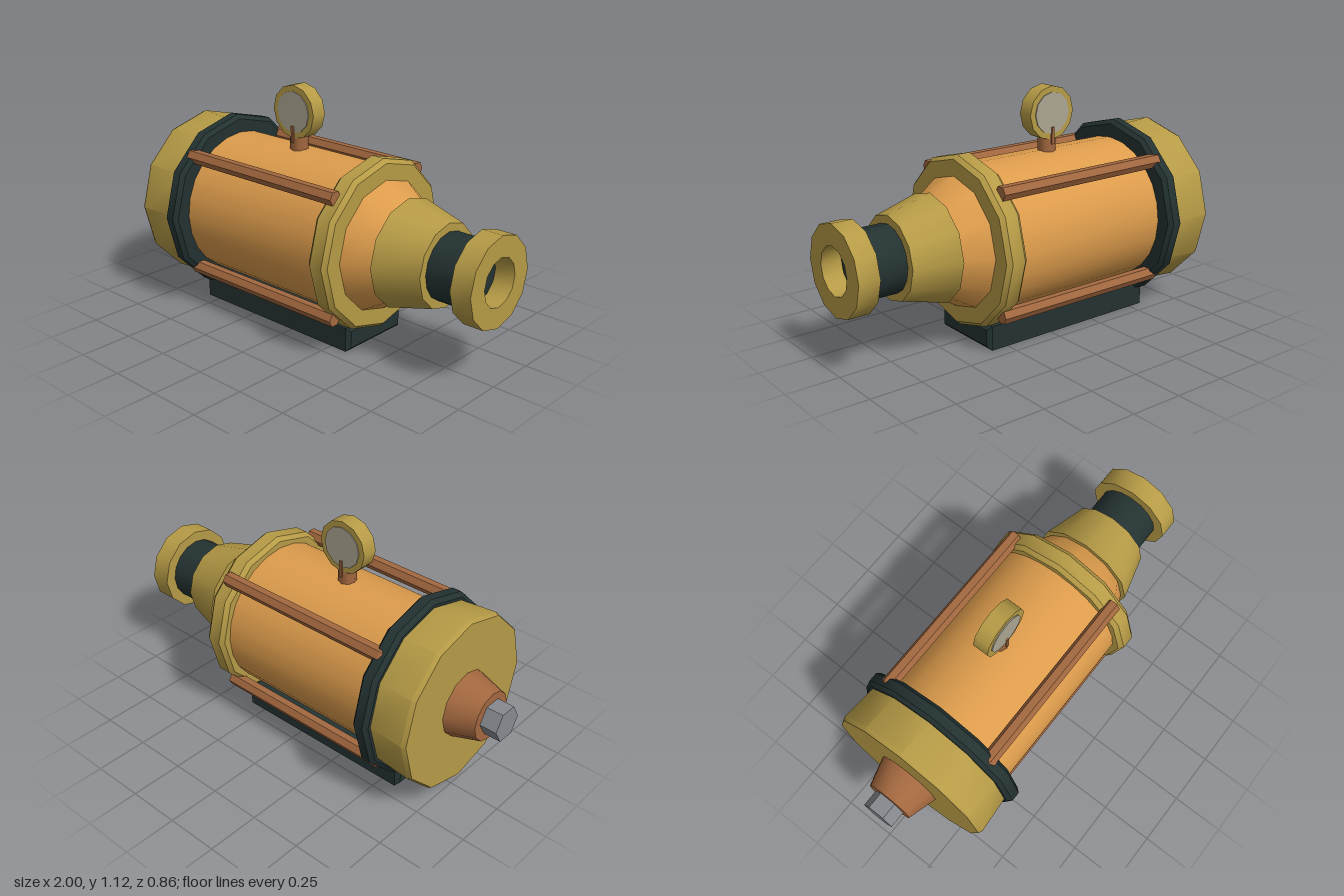
import * as THREE from 'three';
import { toCreasedNormals } from 'three/addons/utils/BufferGeometryUtils.js';

const AXIS_Y = 0.475;

export function createModel() {
  const model = new THREE.Group();
  model.name = 'pressureVessel';

  const material = (name, color, extra = {}) => {
    const m = new THREE.MeshStandardMaterial({ color, ...extra });
    m.name = name;
    return m;
  };
  const copper = material('copper', 0xdd9c4c);
  const brass = material('brass', 0xb69b46);
  const bronze = material('bronze', 0xa3683f);
  const darkIron = material('darkIron', 0x243232);
  const steel = material('steel', 0x868a8f);
  const dialGrey = material('dialGrey', 0xaca592);

  const add = (name, geometry, mat, x = 0, y = 0, z = 0, parent = model) => {
    const mesh = new THREE.Mesh(geometry, mat);
    mesh.name = name;
    mesh.position.set(x, y, z);
    parent.add(mesh);
    return mesh;
  };

  // Solid turned about the x axis, from a profile of [x, radius] points
  const turned = (name, profile, mat, sides = 12, y = AXIS_Y, z = 0) => {
    const points = profile.map(([x, r]) => new THREE.Vector2(r, x));
    const geometry = new THREE.LatheGeometry(points, sides).rotateZ(-Math.PI / 2);
    return add(name, toCreasedNormals(geometry, 0.6), mat, 0, y, z);
  };

  // Tail: hex nut, tapered boss and rear cap
  turned('hexNut', [[-1, 0], [-1, 0.08], [-0.9, 0.08]], steel, 6)
    .geometry.computeVertexNormals();
  turned('rearBoss', [[-0.92, 0], [-0.92, 0.116], [-0.77, 0.16]], bronze);
  turned('rearCap', [[-0.785, 0], [-0.785, 0.4], [-0.765, 0.409], [-0.57, 0.394], [-0.57, 0]], brass);

  // Main barrel and its two collars
  turned('darkCollar', [[-0.595, 0.3], [-0.595, 0.41], [-0.578, 0.43], [-0.534, 0.43],
    [-0.517, 0.41], [-0.517, 0.3]], darkIron);
  turned('barrel', [[-0.56, 0.344], [0.33, 0.344]], copper, 24);
  turned('frontCollar', [[0.295, 0.3], [0.295, 0.378], [0.315, 0.396], [0.38, 0.396],
    [0.4, 0.378], [0.4, 0.2]], brass);

  // Nose: shoulder, tapered nozzle, hose and outlet ring
  turned('shoulder', [[0.39, 0.305], [0.4, 0.302], [0.54, 0.215]], copper);
  turned('nozzle', [[0.525, 0.15], [0.525, 0.25], [0.74, 0.192], [0.74, 0.1]], brass);
  turned('hose', [[0.72, 0.153], [0.905, 0.153], [0.905, 0]], darkIron, 16);
  turned('outletRing', [[0.9, 0.11], [0.9, 0.206], [1, 0.206], [1, 0.11], [0.9, 0.11]], brass);

  // Four tie rods around the barrel
  for (const sy of [-1, 1]) {
    for (const sz of [-1, 1]) {
      turned('tieRod', [[-0.565, 0], [-0.565, 0.022], [-0.55, 0.034], [0.355, 0.034], [0.355, 0]],
        bronze, 6, AXIS_Y + sy * 0.278, sz * 0.278);
    }
  }

  // Base block with bevelled edges
  const bevel = 0.018, w = 0.945 / 2 - bevel, d = 0.185 - bevel;
  const outline = new THREE.Shape([
    new THREE.Vector2(-d, bevel), new THREE.Vector2(d, bevel),
    new THREE.Vector2(d, 0.115 - bevel), new THREE.Vector2(-d, 0.115 - bevel),
  ]);
  const base = new THREE.ExtrudeGeometry(outline, {
    depth: 2 * w, bevelEnabled: true, bevelSegments: 1, bevelSize: bevel, bevelThickness: bevel,
  }).translate(0, 0, -w).rotateY(Math.PI / 2);
  add('base', base, darkIron, -0.118);

  // Pressure gauge with a dial on both sides
  const gauge = new THREE.Group();
  gauge.name = 'gauge';
  gauge.position.set(-0.12, 0.995, 0);
  model.add(gauge);
  const disc = (r, depth) => new THREE.CylinderGeometry(r, r, depth, 12).rotateX(Math.PI / 2);
  add('gaugeCase', disc(0.125, 0.076), brass, 0, 0, 0, gauge);
  add('gaugeStem', new THREE.CylinderGeometry(0.042, 0.042, 0.09, 8), bronze, 0, -0.14, 0, gauge);
  for (const s of [-1, 1]) {
    add('gaugeDial', disc(0.097, 0.006), dialGrey, 0, 0, s * 0.0395, gauge);
    add('gaugeNeedle', new THREE.BoxGeometry(0.013, 0.08, 0.008), bronze, 0, -0.104, s * 0.045, gauge);
  }

  return model;
}
